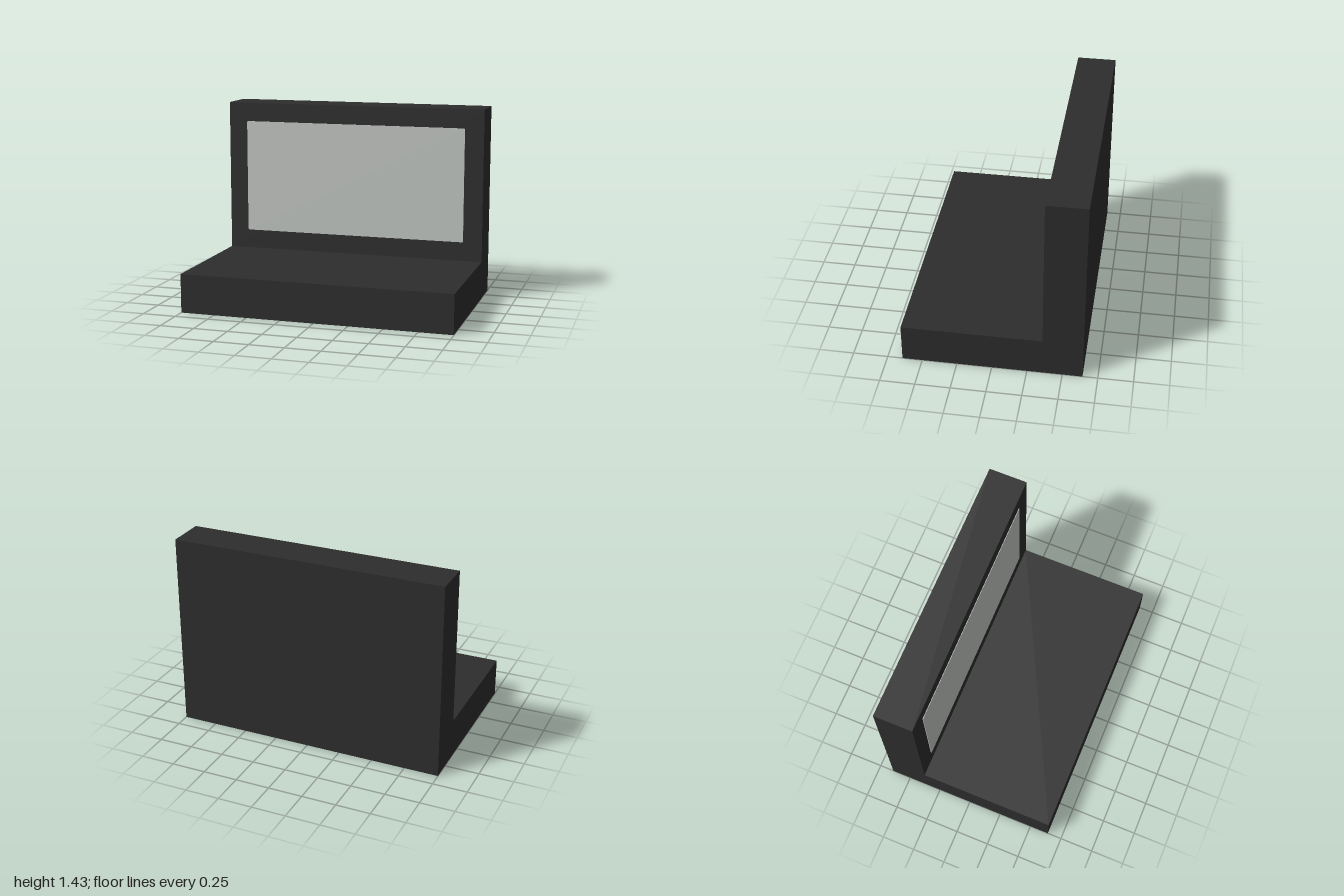
import * as THREE from 'three';

export function createModel() {
  const u = 1 / 7; // design module: 14 wide, 10 high, 9 deep
  const group = new THREE.Group();
  group.name = 'displayUnit';

  const charcoal = new THREE.MeshStandardMaterial({ color: 0x2d2d2d });
  charcoal.name = 'charcoal';
  const paleGrey = new THREE.MeshStandardMaterial({ color: 0xc4c9c4 });
  paleGrey.name = 'paleGrey';

  // L-shaped body: side profile (z, y) extruded across the width
  const profile = new THREE.Shape(
    [[4.5, 0], [4.5, 2], [-2.5, 2], [-2.5, 10], [-4.5, 10], [-4.5, 0]]
      .map(([z, y]) => new THREE.Vector2(z * u, y * u))
  );
  const bodyGeometry = new THREE.ExtrudeGeometry(profile, { depth: 14 * u, bevelEnabled: false });
  bodyGeometry.translate(0, 0, -7 * u);
  bodyGeometry.rotateY(-Math.PI / 2);
  const body = new THREE.Mesh(bodyGeometry, charcoal);
  body.name = 'body';
  group.add(body);

  // Thin screen plate with slightly rounded corners on the upright's front
  const w = 6 * u, h = 3 * u, r = 0.01;
  const outline = new THREE.Shape();
  outline.absarc(w - r, h - r, r, 0, Math.PI / 2);
  outline.absarc(-w + r, h - r, r, Math.PI / 2, Math.PI);
  outline.absarc(-w + r, -h + r, r, Math.PI, Math.PI * 1.5);
  outline.absarc(w - r, -h + r, r, Math.PI * 1.5, Math.PI * 2);
  outline.closePath();
  const screen = new THREE.Mesh(
    new THREE.ExtrudeGeometry(outline, { depth: 0.004, bevelEnabled: false, curveSegments: 4 }),
    paleGrey
  );
  screen.name = 'screen';
  screen.position.set(0, 6 * u, -2.5 * u);
  group.add(screen);

  return group;
}
